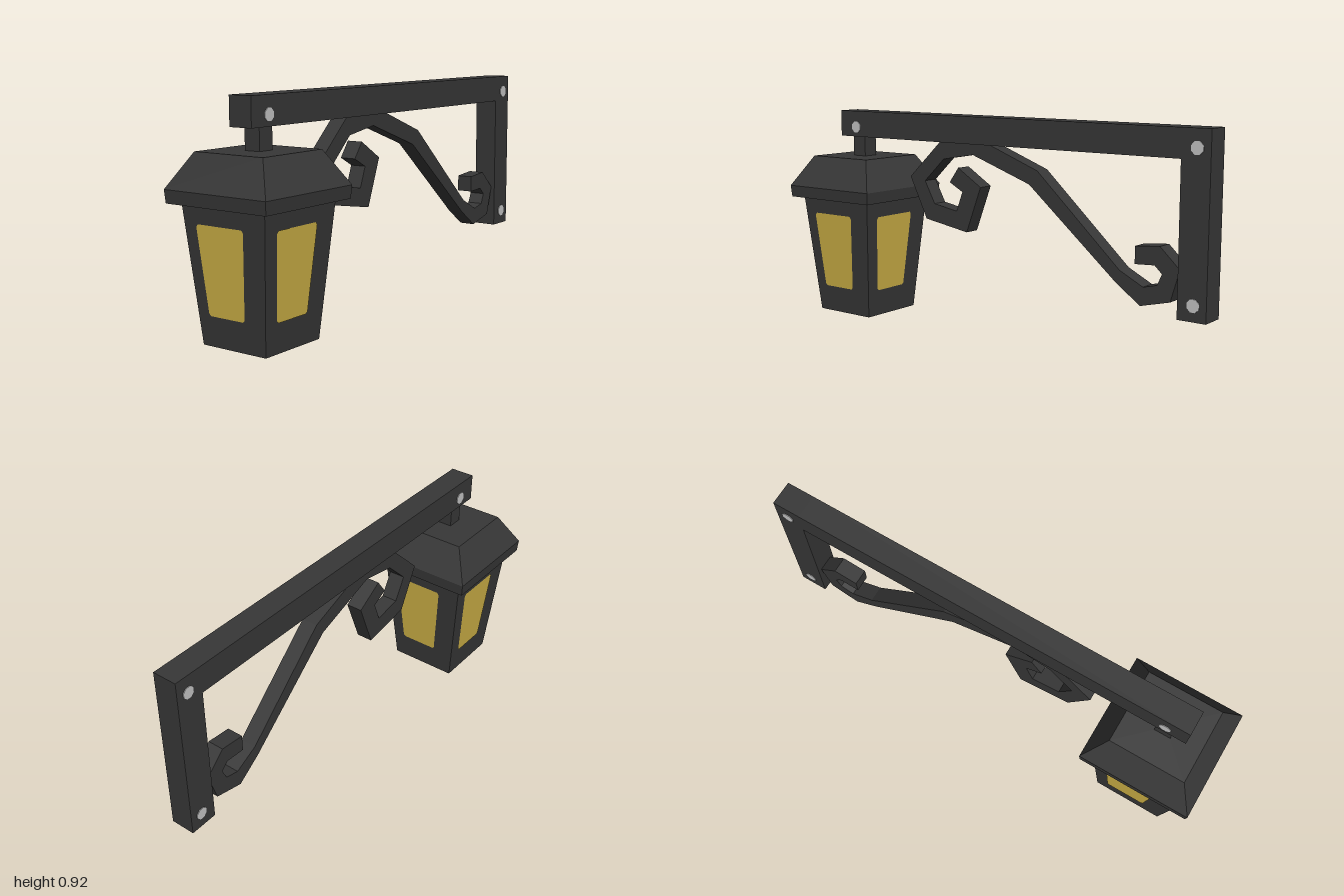
import * as THREE from 'three';

const mat = (name, color, extra = {}) => new THREE.MeshStandardMaterial({ name, color, ...extra });

export function createModel() {
  const group = new THREE.Group();
  const iron = mat('dark iron', 0x373737, { flatShading: true });
  const glass = mat('amber glass', 0xd0b347);
  const steel = mat('pale bolt', 0xc4c4c4);

  const add = (name, geometry, material, parent = group) => {
    const mesh = new THREE.Mesh(geometry, material);
    mesh.name = name;
    parent.add(mesh);
    return mesh;
  };
  const polygon = (pts) => new THREE.Shape(pts.map(([a, b]) => new THREE.Vector2(a, b)));
  // Side profile given as [z, y], extruded symmetrically across x
  const extrudeSide = (pts, width) =>
    new THREE.ExtrudeGeometry(polygon(pts), { depth: width, bevelEnabled: false })
      .translate(0, 0, -width / 2)
      .rotateY(-Math.PI / 2);
  // Square frustum between two heights
  const frustum = (bottomHalf, topHalf, y0, y1) =>
    new THREE.CylinderGeometry(topHalf * Math.SQRT2, bottomHalf * Math.SQRT2, y1 - y0, 4)
      .rotateY(Math.PI / 4)
      .translate(0, (y0 + y1) / 2, 0);

  // Wall post and arm
  add('wallPost', new THREE.BoxGeometry(0.104, 0.715, 0.12).translate(0, 0.5575, -0.94), iron);
  add('arm', new THREE.BoxGeometry(0.104, 0.115, 1.735).translate(0, 0.8575, -0.0125), iron);

  // Scroll brace: one edge out, the other edge back
  const edgeA = [
    [0.18, 0.695], [0.06, 0.62], [0.135, 0.422], [0.36, 0.46], [0.45, 0.64], [0.28, 0.80], [0.09, 0.83],
    [-0.23, 0.71], [-0.62, 0.353], [-0.725, 0.30], [-0.785, 0.315], [-0.805, 0.36], [-0.773, 0.39], [-0.687, 0.385],
  ];
  const edgeB = [
    [0.227, 0.63], [0.158, 0.593], [0.19, 0.508], [0.313, 0.53], [0.366, 0.626], [0.26, 0.727], [0.10, 0.754],
    [-0.19, 0.652], [-0.607, 0.30], [-0.714, 0.225], [-0.842, 0.257], [-0.88, 0.385], [-0.794, 0.465], [-0.687, 0.455],
  ];
  add('scrollBrace', extrudeSide([...edgeA, ...edgeB.reverse()], 0.07), iron);

  // Bolt heads on both sides
  for (const side of [1, -1]) {
    for (const [z, y] of [[0.76, 0.843], [-0.946, 0.843], [-0.946, 0.262]]) {
      const bolt = add('bolt', new THREE.CylinderGeometry(0.027, 0.027, 0.006, 8).rotateY(Math.PI / 8), steel);
      bolt.rotation.z = Math.PI / 2;
      bolt.position.set(side * 0.052, y, z);
    }
  }

  // Lantern
  const lantern = new THREE.Group();
  lantern.name = 'lantern';
  lantern.position.z = 0.76;
  group.add(lantern);
  add('hanger', new THREE.BoxGeometry(0.07, 0.12, 0.07).translate(0, 0.755, 0), iron, lantern);
  add('body', frustum(0.15, 0.197, 0, 0.53), iron, lantern);
  add('roofRim', frustum(0.236, 0.24, 0.527, 0.578), iron, lantern);
  add('roof', frustum(0.24, 0.162, 0.578, 0.712), iron, lantern);

  // Window panes with clipped corners, laid on the sloping walls
  const pane = new THREE.ShapeGeometry(polygon([
    [-0.096, 0.118], [0.058, 0.118], [0.066, 0.126], [0.092, 0.446],
    [0.085, 0.457], [-0.123, 0.457], [-0.131, 0.446], [-0.105, 0.126],
  ]));
  const p = pane.attributes.position;
  for (let i = 0; i < p.count; i++) p.setZ(i, 0.15 + 0.047 * p.getY(i) / 0.53 + 0.003);
  pane.computeVertexNormals();
  for (let k = 0; k < 4; k++) add('windowPane', pane, glass, lantern).rotation.y = k * Math.PI / 2;

  return group;
}
